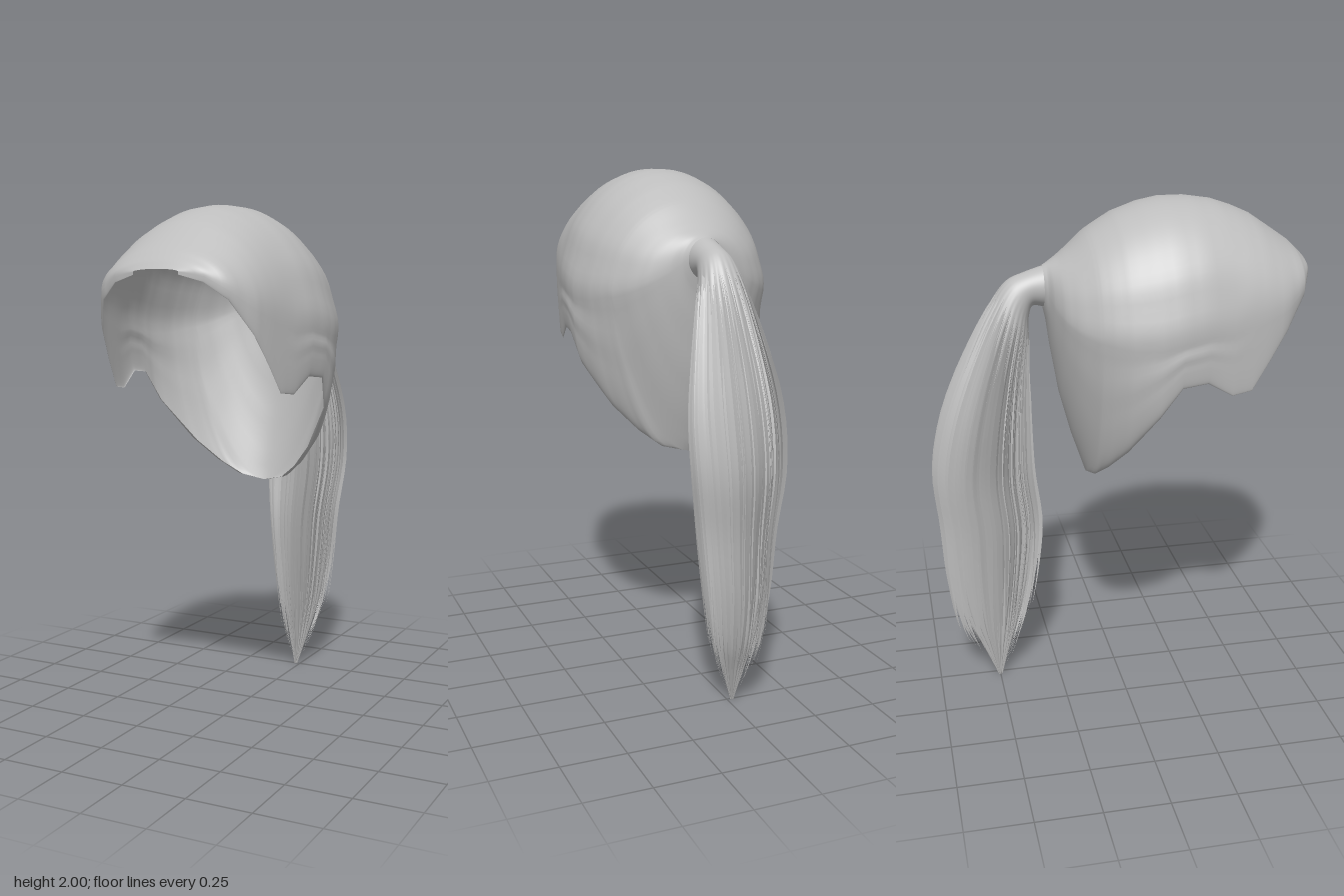
import * as THREE from 'three';
import { mergeVertices, mergeGeometries } from 'three/addons/utils/BufferGeometryUtils.js';

// Surface through a grid of points f(row, column), both running 0..1
function gridSurface(rows, cols, f) {
  const pos = [], index = [];
  for (let i = 0; i <= rows; i++) {
    for (let j = 0; j <= cols; j++) {
      pos.push(...f(i / rows, j / cols));
      if (i < rows && j < cols) {
        const a = i * (cols + 1) + j, b = a + cols + 1;
        index.push(a, a + 1, b, a + 1, b + 1, b);
      }
    }
  }
  const g = new THREE.BufferGeometry();
  g.setAttribute('position', new THREE.Float32BufferAttribute(pos, 3));
  g.setIndex(index);
  const merged = mergeVertices(g, 1e-5);
  merged.computeVertexNormals();
  return merged;
}

function seeded(seed) {
  return () => (seed = (seed * 16807) % 2147483647) / 2147483647;
}

// Cap sections: z, top y, half width, y of widest point, edge y, edge x
const CAP = [
  [0.74, 1.755, 0.09, 1.745, 1.735, 0.09],
  [0.72, 1.785, 0.18, 1.73, 1.71, 0.175],
  [0.68, 1.825, 0.26, 1.68, 1.65, 0.25],
  [0.60, 1.88, 0.317, 1.62, 1.53, 0.308],
  [0.53, 1.927, 0.338, 1.60, 1.425, 0.33],
  [0.46, 1.958, 0.354, 1.58, 1.32, 0.345],
  [0.38, 1.985, 0.372, 1.55, 1.31, 0.36],
  [0.28, 2.00, 0.392, 1.55, 1.37, 0.375],
  [0.18, 2.00, 0.402, 1.53, 1.36, 0.385],
  [0.10, 1.985, 0.398, 1.51, 1.24, 0.36],
  [0.00, 1.95, 0.375, 1.51, 1.07, 0.25],
  [-0.06, 1.915, 0.35, 1.52, 0.98, 0.165],
  [-0.10, 1.89, 0.327, 1.53, 0.925, 0.09],
  [-0.12, 1.875, 0.314, 1.53, 0.905, 0],
  [-0.175, 1.825, 0.268, 1.55, 1.07, 0],
  [-0.22, 1.79, 0.21, 1.58, 1.24, 0],
  [-0.25, 1.773, 0.14, 1.62, 1.42, 0],
  [-0.265, 1.765, 0.092, 1.66, 1.53, 0],
  [-0.28, 1.757, 0.070, 1.68, 1.60, 0],
];

function capPoint(v, c) {
  const k = v * (CAP.length - 1), i = Math.min(Math.floor(k), CAP.length - 2);
  const [z, top, w, mid, low, edge] = CAP[i].map((n, j) => THREE.MathUtils.lerp(n, CAP[i + 1][j], k - i));
  const u = c * 2 - 1, s = Math.abs(u) * 2;
  let x, y;
  if (s < 1) {
    x = w * Math.sin(s * Math.PI / 2);
    y = mid + (top - mid) * Math.cos(s * Math.PI / 2);
  } else {
    // The nape tapers to a blunt wedge rather than a full round
    const a = Math.min(s - 1, 1) * Math.PI / 2;
    const wedge = 0.4 * THREE.MathUtils.smoothstep(0.1 - z, 0, 0.18) * THREE.MathUtils.smoothstep(z, -0.28, -0.22);
    x = edge + (w - edge) * THREE.MathUtils.lerp(Math.cos(a), 1 - Math.sin(a), wedge);
    y = mid - (mid - low) * Math.sin(a);
  }
  // Shallow folds running from the gather forwards along the sides
  const fold = Math.sin(Math.PI * THREE.MathUtils.clamp((0.45 - z) / 0.7, 0, 1))
    * Math.sin(Math.PI * THREE.MathUtils.clamp((s - 0.5) / 0.9, 0, 1));
  x += 0.004 * fold * Math.sin(s * 22);
  return [Math.sign(u) * x, y, z];
}

// Ponytail sections: inner z, y, outer z, y, half width
const TAIL = [
  [-0.275, 1.60, -0.275, 1.757, 0.071],
  [-0.32, 1.605, -0.345, 1.735, 0.064],
  [-0.335, 1.56, -0.415, 1.705, 0.075],
  [-0.335, 1.47, -0.49, 1.61, 0.10],
  [-0.34, 1.30, -0.60, 1.40, 0.14],
  [-0.34, 1.10, -0.69, 1.17, 0.17],
  [-0.335, 0.92, -0.73, 0.95, 0.165],
  [-0.315, 0.70, -0.71, 0.72, 0.135],
  [-0.34, 0.50, -0.69, 0.48, 0.11],
  [-0.39, 0.30, -0.64, 0.27, 0.08],
  [-0.44, 0.15, -0.58, 0.15, 0.05],
  [-0.49, 0.0, -0.51, 0.0, 0.008],
];
const inner = new THREE.CatmullRomCurve3(TAIL.map(r => new THREE.Vector3(0, r[1], r[0])));
const outer = new THREE.CatmullRomCurve3(TAIL.map(r => new THREE.Vector3(r[4], r[3], r[2])));

// Point on the ponytail: t along it, a around it, r out from its middle.
// Below the neck the section is egg shaped, narrower towards the head.
function tailPoint(t, a, r) {
  const p = inner.getPoint(t), q = outer.getPoint(t), c = r * Math.cos(a);
  const egg = 0.28 * THREE.MathUtils.smoothstep(t, 0.15, 0.4);
  return [
    q.x * r * Math.sin(a) * (1 + egg * Math.cos(a)) / (1 + egg * 0.15) - 0.02 * t ** 4,
    Math.max(0, (p.y + q.y) / 2 + c * (q.y - p.y) / 2),
    (p.z + q.z) / 2 + c * (q.z - p.z) / 2,
  ];
}

export function createModel() {
  const group = new THREE.Group();
  const hair = new THREE.MeshStandardMaterial({ color: 0xbdbdbd, side: THREE.DoubleSide });
  hair.name = 'grey hair';
  const add = (name, geometry) => {
    const mesh = new THREE.Mesh(geometry, hair);
    mesh.name = name;
    group.add(mesh);
  };

  // Swept-back hair shell, open at the face and neck
  add('hairCap', gridSurface((CAP.length - 1) * 3, 80, capPoint));

  // Hollow neck and grooved body of the ponytail
  add('ponytailBody', gridSurface(66, 144, (t, c) => {
    const a = c * Math.PI * 2, loose = THREE.MathUtils.smoothstep(t, 0.15, 0.45);
    return tailPoint(t, a, 1 - loose * (0.09 + 0.05 * Math.cos(a * 24) + 0.12 * t ** 3));
  }));

  // Loose overlapping strands of uneven length over the body
  const rand = seeded(71), strands = [], count = 150;
  for (let i = 0; i < count; i++) {
    const a = (i + rand() * 0.8) / count * Math.PI * 2;
    const start = 0.18 + rand() * 0.1, end = 0.8 + rand() * 0.18;
    const width = 0.025 + rand() * 0.035, lift = 0.9 + rand() * 0.12, flare = rand() * 0.45;
    strands.push(gridSurface(24, 1, (v, c) => {
      const t = THREE.MathUtils.lerp(start, end, v);
      const taper = Math.min(1, (1 - v) * 3.5);
      const rise = THREE.MathUtils.lerp(0.94, lift, Math.min(1, v * 4));
      return tailPoint(t, a + (c - 0.5) * 2 * width * taper, rise + 0.07 * (c - 0.5) * taper + flare * v ** 6);
    }));
  }
  add('ponytailStrands', mergeGeometries(strands));

  return group;
}
